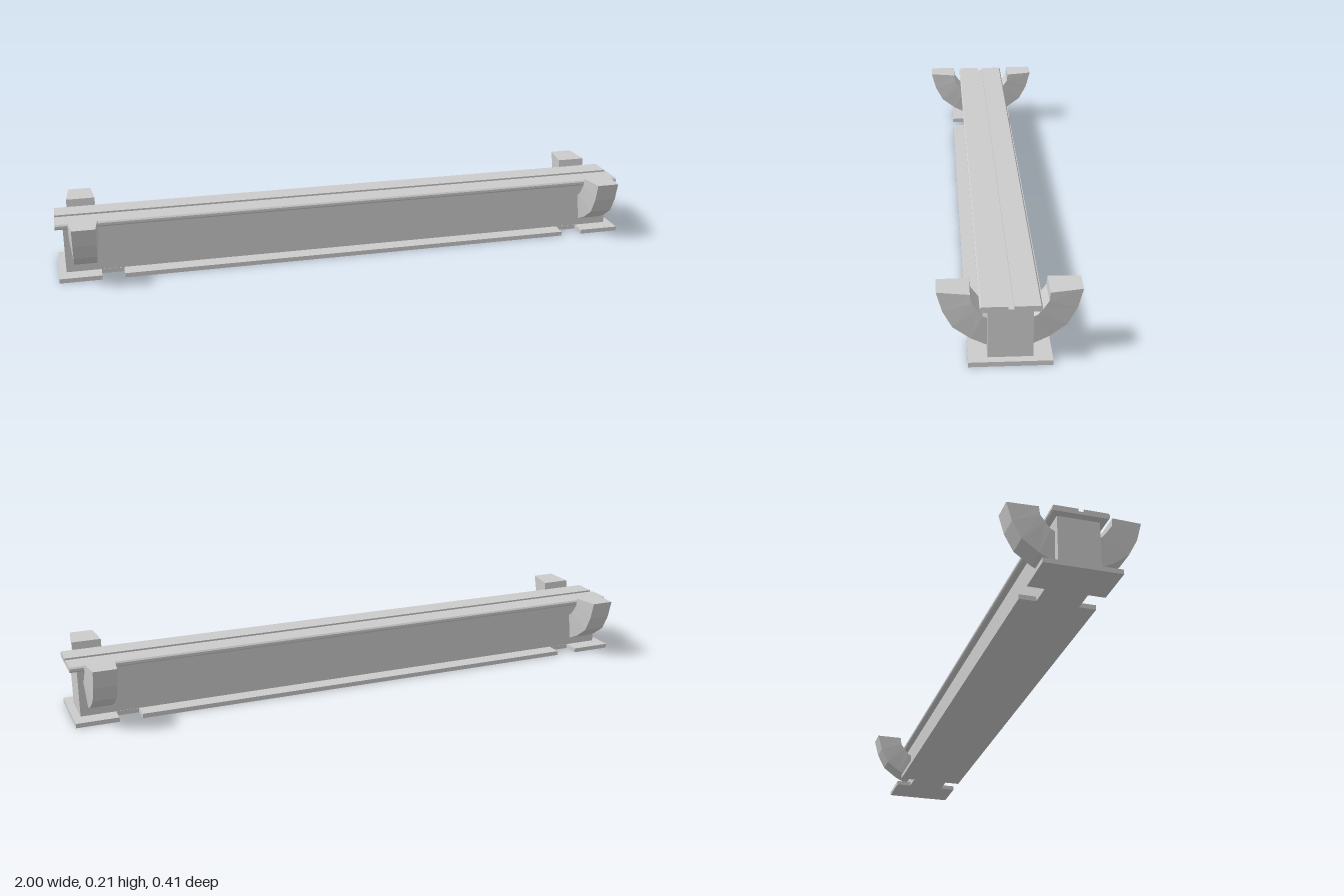
import * as THREE from 'three';

const material = new THREE.MeshStandardMaterial({ color: 0xcccccc, flatShading: true });

function addMesh(parent, name, geometry) {
  const mesh = new THREE.Mesh(geometry, material);
  mesh.name = name;
  parent.add(mesh);
  return mesh;
}

function shapeOf(points) {
  return new THREE.Shape(points.map(([x, y]) => new THREE.Vector2(x, y)));
}

// Curved arm: trapezoid sections, wide on the inside of the bend, narrow outside
function armGeometry() {
  const inner = [[0.112, 0.209], [0.109, 0.182], [0.094, 0.16], [0.077, 0.139], [0.064, 0.133]];
  const outer = [[0.206, 0.213], [0.19, 0.153], [0.162, 0.1], [0.111, 0.062], [0.064, 0.039]];
  const wi = 0.048, wo = 0.038;
  const rings = inner.map(([zi, yi], k) => {
    const [zo, yo] = outer[k];
    return [[-wi, yi, zi], [wi, yi, zi], [wo, yo, zo], [-wo, yo, zo]];
  });
  const positions = [];
  const quad = (a, b, c, d) => positions.push(...a, ...b, ...c, ...a, ...c, ...d);
  for (let k = 0; k < rings.length - 1; k++) {
    const up = rings[k], low = rings[k + 1];
    for (let i = 0; i < 4; i++) {
      const j = (i + 1) % 4;
      quad(up[i], up[j], low[j], low[i]);
    }
  }
  const [a, b, c, d] = rings[0];
  quad(a, d, c, b);
  quad(...rings[rings.length - 1]);
  const geometry = new THREE.BufferGeometry();
  geometry.setAttribute('position', new THREE.Float32BufferAttribute(positions, 3));
  geometry.computeVertexNormals();
  return geometry;
}

export function createModel() {
  const model = new THREE.Group();
  model.name = 'beam';

  // Base plate with a notch near each corner
  const half = [[-1, 0.12], [-0.86, 0.12], [-0.86, 0.066], [-0.785, 0.066], [-0.785, 0.12],
    [0.785, 0.12], [0.785, 0.066], [0.86, 0.066], [0.86, 0.12], [1, 0.12]];
  const outline = [...half, ...half.map(([x, z]) => [-x, -z])];
  const plate = new THREE.ExtrudeGeometry(shapeOf(outline), { depth: 0.015, bevelEnabled: false });
  plate.rotateX(-Math.PI / 2);
  addMesh(model, 'basePlate', plate);

  // Solid web between plate and rail
  const web = addMesh(model, 'web', new THREE.BoxGeometry(1.95, 0.161, 0.13));
  web.position.y = 0.0955;

  // Top rail: chamfered edges and a groove along the middle
  const side = [[0.083, 0.175], [0.087, 0.18], [0.087, 0.188], [0.083, 0.193], [0.008, 0.193], [0.008, 0.184]];
  const profile = [...side, ...side.map(([z, y]) => [-z, y]).reverse()];
  const rail = new THREE.ExtrudeGeometry(shapeOf(profile), { depth: 2, bevelEnabled: false });
  rail.translate(0, 0, -1);
  rail.rotateY(Math.PI / 2);
  addMesh(model, 'topRail', rail);

  // Four upturned arms, a pair at each end
  const arm = armGeometry();
  for (const x of [-0.91, 0.91]) {
    for (const turn of [0, Math.PI]) {
      const mesh = addMesh(model, turn ? 'backArm' : 'frontArm', arm);
      mesh.position.x = x;
      mesh.rotation.y = turn;
    }
  }
  return model;
}
